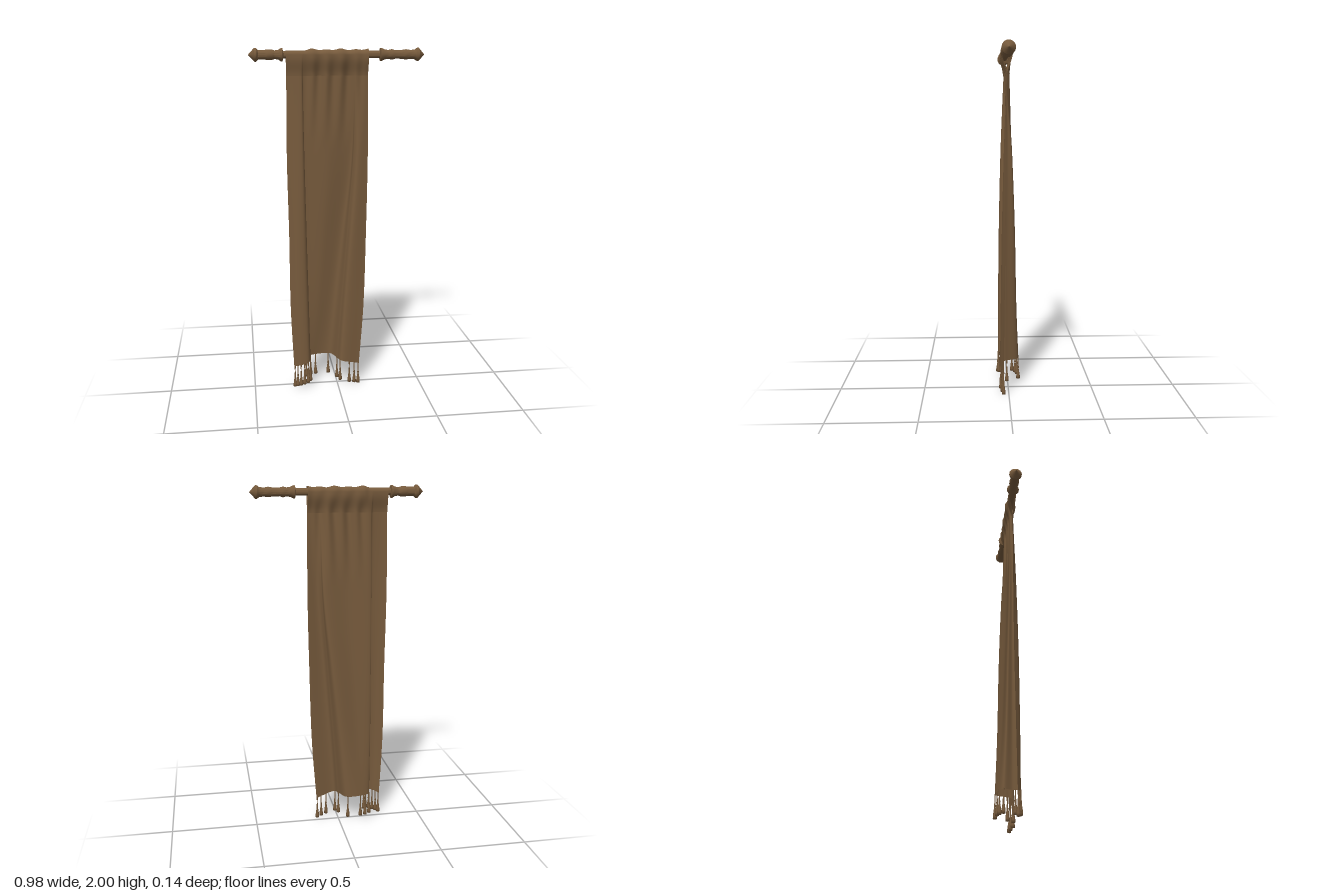
import * as THREE from 'three';
import { toCreasedNormals } from 'three/addons/utils/BufferGeometryUtils.js';

const ROD_Y = 1.962, ROD_Z = 0.013, SLEEVE_Y = 1.86;
const { lerp, smoothstep } = THREE.MathUtils;

// Smooth surface from a function f(i, j) that returns a Vector3
function gridSurface(cols, rows, f) {
  const pos = [], index = [];
  for (let j = 0; j <= rows; j++)
    for (let i = 0; i <= cols; i++) pos.push(...f(i, j).toArray());
  for (let j = 0; j < rows; j++)
    for (let i = 0; i < cols; i++) {
      const a = j * (cols + 1) + i, b = a + 1, c = a + cols + 1, d = c + 1;
      index.push(a, c, b, b, c, d);
    }
  const g = new THREE.BufferGeometry();
  g.setAttribute('position', new THREE.Float32BufferAttribute(pos, 3));
  g.setIndex(index);
  g.computeVertexNormals();
  return g;
}

// Cross-sections of the hanging cloth, top to bottom: y, then [x, z] along the width.
// The left panel and right flap lie forward, the middle swings back in a slanting fold.
const sections = [
  [SLEEVE_Y, [[-.283, .013], [-.24, .018], [-.2, .017], [-.194, .012], [-.19, .008], [-.06, .012], [.09, .006], [.105, .01], [.125, .016], [.172, .013]]],
  [1.4, [[-.287, .014], [-.24, .034], [-.2, .036], [-.188, .018], [-.194, .004], [-.05, .002], [.085, -.018], [.094, .007], [.114, .028], [.175, .016]]],
  [0.95, [[-.281, .018], [-.24, .046], [-.195, .044], [-.18, .02], [-.194, -.006], [-.08, -.014], [.038, -.036], [.06, .01], [.08, .038], [.168, .02]]],
  [0.5, [[-.279, .026], [-.235, .052], [-.186, .048], [-.171, .02], [-.192, -.016], [-.11, -.032], [-.01, -.047], [.024, .01], [.044, .043], [.156, .026]]],
  [0.16, [[-.264, .035], [-.222, .055], [-.178, .05], [-.164, .02], [-.186, -.03], [-.14, -.054], [-.04, -.059], [-.002, .008], [.02, .047], [.13, .03]]],
];
const hem = [.13, .145, .158, .162, .162, .162, .163, .163, .158, .128];

// One curve down the cloth for each section point
const drops = hem.map((hemY, k) => new THREE.CatmullRomCurve3(sections.map(([y, pts], s) =>
  new THREE.Vector3(pts[k][0], s === sections.length - 1 ? hemY : y, pts[k][1]))));

// Curve across the cloth at a depth v from 0 (sleeve) to 1 (hem)
const across = (v) => new THREE.CatmullRomCurve3(drops.map((d) => d.getPoint(v)));

// Gathers below the rod that fade out down the cloth
function pleat(x, v) {
  return 0.01 * Math.sin(x * 78 + v * 6) * Math.max(0, 1 - v * 4.5) * smoothstep(x, -0.2, -0.12)
    * (1 - smoothstep(x, 0.1, 0.17));
}

function makeCloth() {
  const cols = 180, rows = 48;
  const lines = Array.from({ length: rows + 1 }, (_, j) => across(j / rows));
  return gridSurface(cols, rows, (i, j) => {
    const p = lines[j].getPoint(i / cols);
    p.z += pleat(p.x, j / rows);
    return p;
  });
}

// Teardrop loop of cloth around the rod, tighter at the left end
function makeSleeve() {
  const cols = 180, rows = 32, top = across(0);
  return gridSurface(cols, rows, (i, j) => {
    const p = top.getPoint(i / cols), t = j / rows;
    p.z += pleat(p.x, 0);
    const gathered = smoothstep(p.x, -0.19, -0.15);
    const r = 0.0225 + gathered * (0.005 + 0.003 * Math.sin(p.x * 78) + 0.002 * Math.sin(p.x * 41 + 1));
    const a = (t - 0.5) * Math.PI * 2;
    const down = Math.max(0, Math.abs(t - 0.5) * 4 - 1);
    if (down === 0) return new THREE.Vector3(p.x, ROD_Y + r * Math.cos(a), ROD_Z - r * Math.sin(a));
    const width = lerp(r, 0.003, smoothstep(down, 0.1, 1.05));
    return new THREE.Vector3(p.x, lerp(ROD_Y, SLEEVE_Y - 0.012, down),
      lerp(ROD_Z, p.z, down) + Math.sign(0.5 - t) * width);
  });
}

export function createModel() {
  const model = new THREE.Group();
  model.name = 'hangingBanner';
  const brown = new THREE.MeshStandardMaterial({ color: 0x765a3c, side: THREE.DoubleSide });
  brown.name = 'brown';

  const add = (name, geometry, parent = model) => {
    const mesh = new THREE.Mesh(geometry, brown);
    mesh.name = name;
    parent.add(mesh);
    return mesh;
  };

  // Turned rod with pointed finials and flared collars: [position along x, radius]
  const profile = [
    [-.488, .001], [-.455, .037], [-.445, .037], [-.435, .026], [-.4, .025], [-.385, .029], [-.36, .028], [-.345, .023],
    [-.325, .026], [-.31, .036], [-.302, .036], [-.298, .02], [.236, .02], [.24, .036], [.248, .035], [.265, .027],
    [.285, .024], [.305, .029], [.325, .023], [.36, .024], [.385, .028], [.41, .024], [.435, .027], [.448, .037],
    [.456, .037], [.488, .001]];
  const rod = add('rod', toCreasedNormals(
    new THREE.LatheGeometry(profile.map(([x, r]) => new THREE.Vector2(r, x)), 16), 0.6));
  rod.rotation.z = -Math.PI / 2;
  rod.position.set(0, ROD_Y, ROD_Z);

  add('cloth', makeCloth());
  add('sleeve', makeSleeve());

  // Tassels along the hem: thin cord, knot and flared skirt
  const tassels = new THREE.Group();
  tassels.name = 'tassels';
  model.add(tassels);
  const tasselShape = [[.001, -.13], [.011, -.127], [.011, -.113], [.006, -.078], [.004, -.068], [.0055, -.06],
    [.004, -.05], [.0025, -.03], [.004, .004]].map(([r, y]) => new THREE.Vector2(r, y));
  const tasselGeometry = new THREE.LatheGeometry(tasselShape, 8);
  const hemLine = across(1);
  // Places counted in section points from the left edge
  for (const k of [.12, .5, .95, 1.4, 1.9, 2.6, 4, 4.7, 5.15, 5.9, 7, 7.8, 8.5, 8.75, 8.96])
    add('tassel', tasselGeometry, tassels).position.copy(hemLine.getPoint(k / (hem.length - 1)));

  return model;
}
